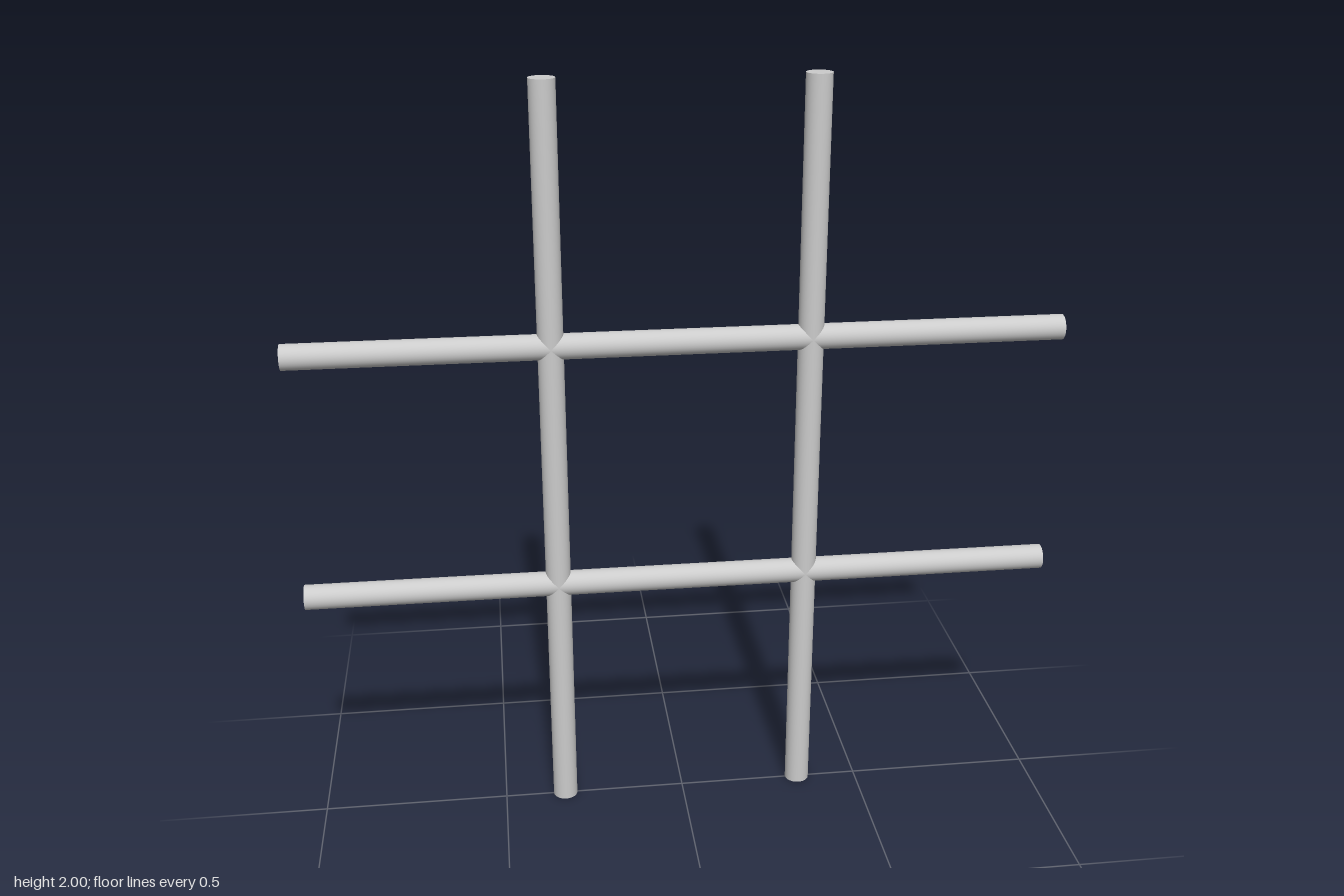
import * as THREE from 'three';

export function createModel() {
  const group = new THREE.Group();
  const material = new THREE.MeshStandardMaterial({ color: 0xcccccc });
  const length = 2, radius = 0.0333, offset = 1 / 3;
  const barGeometry = new THREE.CylinderGeometry(radius, radius, length, 32);

  function addBar(name, x, y, horizontal) {
    const bar = new THREE.Mesh(barGeometry, material);
    bar.name = name;
    bar.position.set(x, y, 0);
    if (horizontal) bar.rotation.z = Math.PI / 2;
    group.add(bar);
  }

  // Two upright and two level round bars crossing in one plane
  for (const side of [-1, 1]) {
    addBar(side > 0 ? 'leftUprightBar' : 'rightUprightBar', side * offset, 1, false);
    addBar(side > 0 ? 'upperCrossBar' : 'lowerCrossBar', 0, 1 + side * offset, true);
  }
  return group;
}
